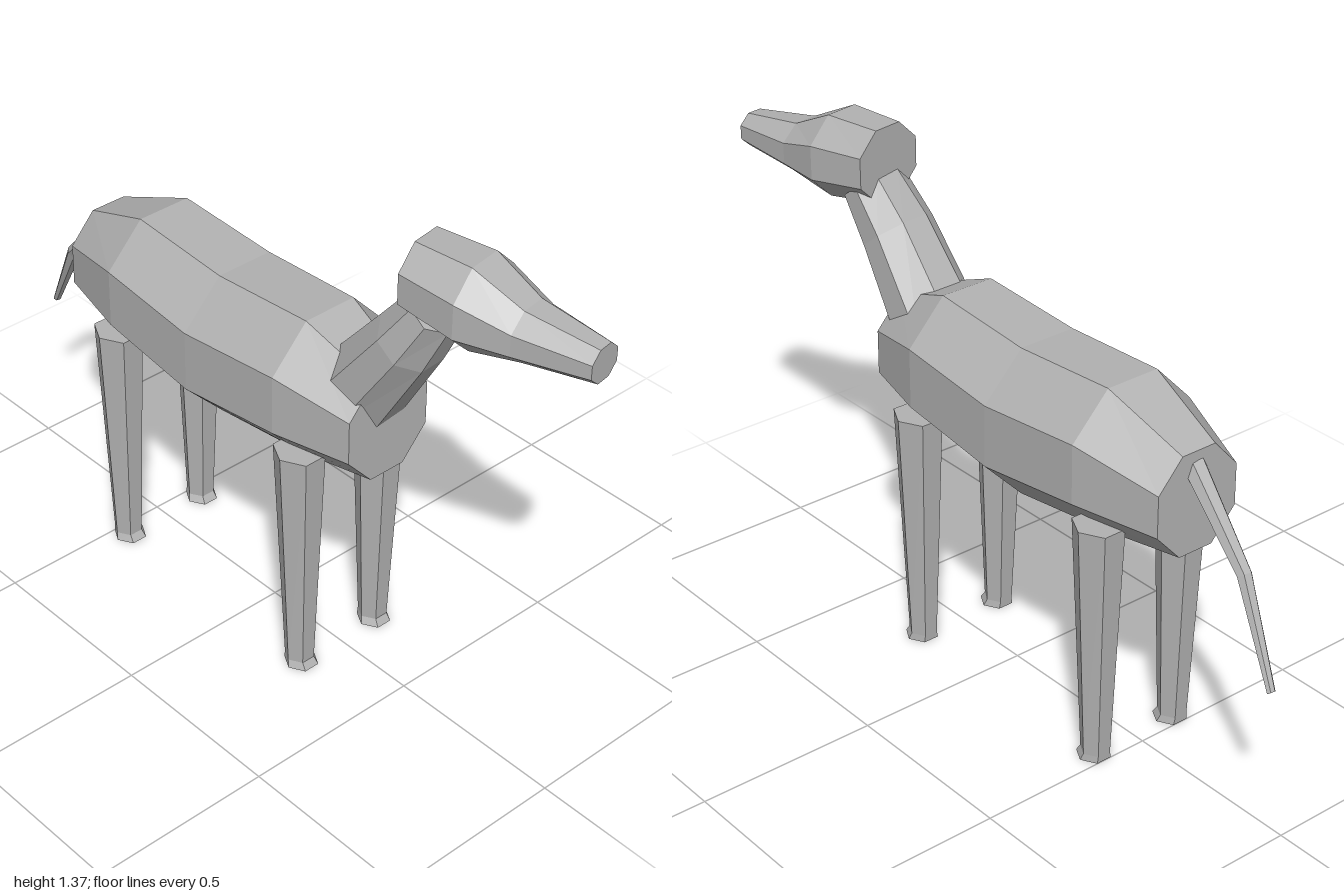
import * as THREE from 'three';

const coat = new THREE.MeshStandardMaterial({ color: 0xb2b2b2, flatShading: true });
coat.name = 'grey coat';

// Closed faceted loft. Each ring is [x, y, z, halfWidth, halfDepth], square to one axis.
// flat = true puts faces (not corners) on the ring's four sides.
function loft(name, rings, { sides = 8, axis = [0, 0, 1], ref = [0, 1, 0], flat = true }) {
  const t = new THREE.Vector3(...axis).normalize();
  const u = new THREE.Vector3(...ref).cross(t).normalize();
  const v = t.clone().cross(u);
  const grow = flat ? 1 / Math.cos(Math.PI / sides) : 1;
  const loops = rings.map(([x, y, z, hu, hv]) => Array.from({ length: sides }, (_, i) => {
    const a = (i + (flat ? 0.5 : 0)) * 2 * Math.PI / sides;
    return new THREE.Vector3(x, y, z)
      .addScaledVector(u, Math.cos(a) * hu * grow)
      .addScaledVector(v, Math.sin(a) * hv * grow);
  }));
  const pos = [];
  const tri = (...points) => points.forEach(p => pos.push(p.x, p.y, p.z));
  const first = loops[0], last = loops[loops.length - 1];
  for (let r = 0; r + 1 < loops.length; r++) {
    for (let i = 0; i < sides; i++) {
      const j = (i + 1) % sides, a = loops[r], b = loops[r + 1];
      tri(a[i], a[j], b[j]);
      tri(a[i], b[j], b[i]);
    }
  }
  for (let i = 1; i + 1 < sides; i++) {
    tri(first[0], first[i + 1], first[i]);
    tri(last[0], last[i], last[i + 1]);
  }
  const geometry = new THREE.BufferGeometry();
  geometry.setAttribute('position', new THREE.Float32BufferAttribute(pos, 3));
  geometry.computeVertexNormals();
  const mesh = new THREE.Mesh(geometry, coat);
  mesh.name = name;
  return mesh;
}

export function createModel() {
  const model = new THREE.Group();
  model.name = 'animal';

  // Barrel-shaped body, rump to chest
  model.add(loft('body', [
    [0, 0.788, -0.665, 0.125, 0.138],
    [0, 0.822, -0.43, 0.188, 0.196],
    [0, 0.795, -0.115, 0.2, 0.206],
    [0, 0.822, 0.2, 0.188, 0.2],
    [0, 0.795, 0.412, 0.13, 0.146],
  ], {}));

  // Neck, rooted inside the chest and leaning forward
  model.add(loft('neck', [
    [0, 0.84, 0.305, 0.112, 0.11],
    [0.005, 1.083, 0.479, 0.096, 0.084],
    [0.025, 1.2, 0.55, 0.085, 0.066],
  ], { axis: [0.05, 0.78, 0.63] }));

  // Head, turned slightly to its left
  model.add(loft('head', [
    [0.018, 1.27, 0.497, 0.102, 0.1],
    [0.042, 1.257, 0.662, 0.116, 0.113],
    [0.063, 1.235, 0.797, 0.083, 0.07],
    [0.095, 1.231, 0.99, 0.051, 0.046],
  ], { axis: [0.15, 0, 0.99] }));

  // Four tapered six-sided legs with flared feet
  for (const [end, z] of [['front', 0.24], ['rear', -0.468]]) {
    for (const [side, s] of [['Left', 1], ['Right', -1]]) {
      model.add(loft(`${end}${side}Leg`, [
        [s * 0.135, 0.685, z, 0.064, 0.071],
        [s * 0.131, 0.02, z + 0.002, 0.039, 0.04],
        [s * 0.13, 0, z + 0.009, 0.045, 0.047],
      ], { sides: 6, axis: [0, -1, 0], ref: [0, 0, 1], flat: false }));
    }
  }

  // Thin drooping tail
  model.add(loft('tail', [
    [0, 0.885, -0.645, 0.032, 0.028],
    [0.018, 0.68, -0.85, 0.021, 0.019],
    [0.055, 0.44, -0.993, 0.012, 0.009],
  ], { sides: 6, axis: [0.05, -0.45, -0.35], flat: false }));

  return model;
}
